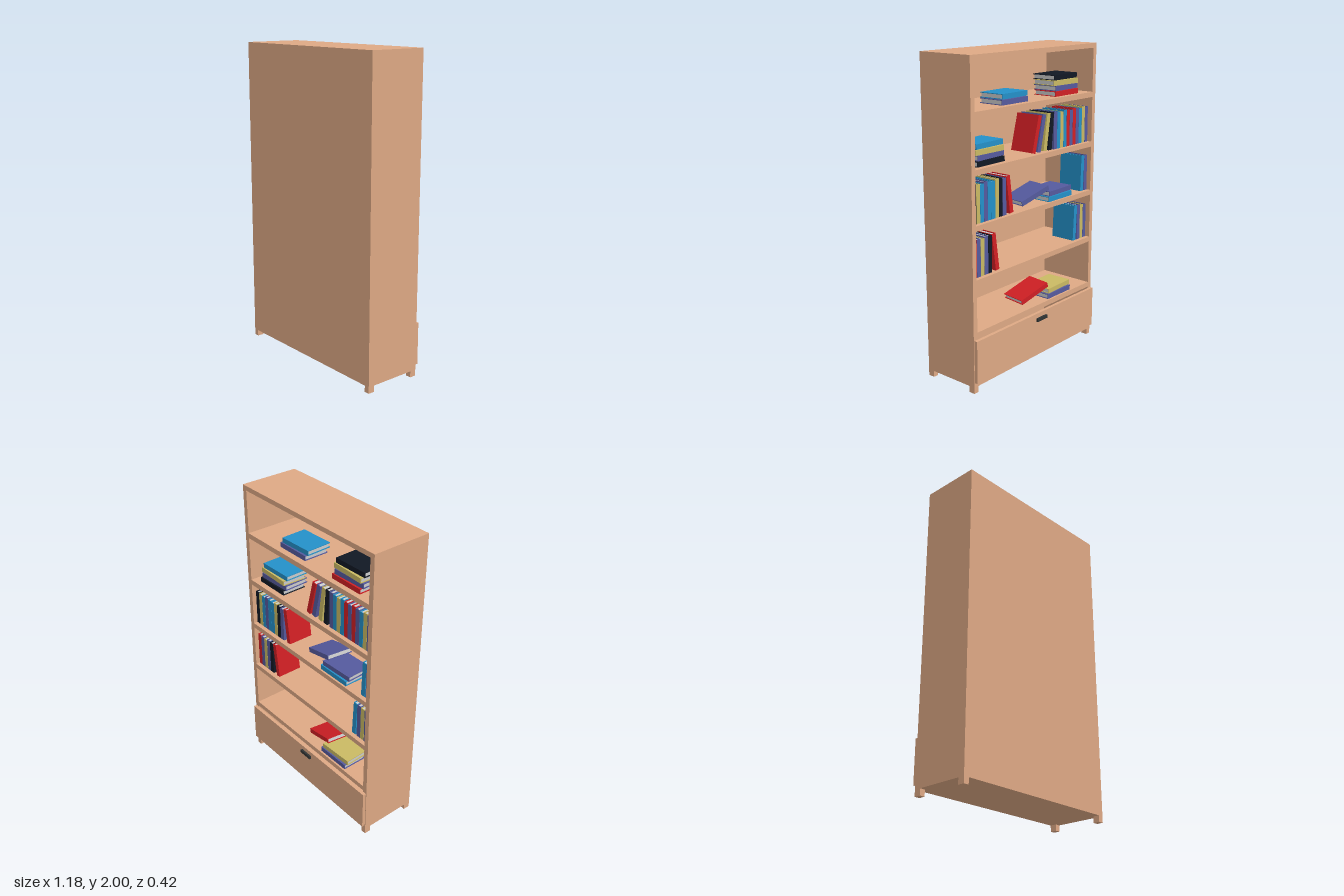
import * as THREE from 'three';

const mat = (color) => new THREE.MeshStandardMaterial({ color });
const WOOD = mat(0xdda884), DARK = mat(0x303434), PAGES = mat(0xcccccc);
const COVERS = {
  r: mat(0xd01f24), p: mat(0x555a9e), y: mat(0xc9b963), c: mat(0x2490c8), k: mat(0x111824),
};

// Box given by its lower and upper limits on each axis
function box(parent, name, m, [x0, x1], [y0, y1], [z0, z1]) {
  const mesh = new THREE.Mesh(new THREE.BoxGeometry(x1 - x0, y1 - y0, z1 - z0), m);
  mesh.position.set((x0 + x1) / 2, (y0 + y1) / 2, (z0 + z1) / 2);
  mesh.name = name;
  parent.add(mesh);
}

const H = 0.235, D = 0.17, T = 0.0325;

// Book: two covers, a spine at -z and a recessed page block.
// roll turns it about z (90 degrees lies flat), yaw about y.
function book(parent, key, x, y, z, { roll = 0, yaw = 0, t = T, h = H, d = D } = {}) {
  const g = new THREE.Group(), m = COVERS[key], c = 0.004, half = t / 2 - 0.0005;
  box(g, 'bookCover', m, [-half, -half + c], [0, h], [0, d]);
  box(g, 'bookCover', m, [half - c, half], [0, h], [0, d]);
  box(g, 'bookSpine', m, [-half + c, half - c], [0, h], [0, c]);
  box(g, 'bookPages', PAGES, [-half + c, half - c], [0.006, h - 0.006], [c, d - 0.008]);
  const a = THREE.MathUtils.degToRad(roll);
  g.rotation.order = 'YXZ';
  g.rotation.set(0, THREE.MathUtils.degToRad(yaw), a);
  g.position.set(x, y + (t / 2) * Math.abs(Math.sin(a)), z);
  g.name = 'book';
  parent.add(g);
}

// Upright books side by side, running from x towards -x
function row(parent, keys, x, y) {
  [...keys].forEach((k, i) => book(parent, k, x - (i + 0.5) * T, y, -0.15,
    { h: H - (i % 3) * 0.004 }));
}

// Flat books piled bottom to top, each slightly shifted
function stack(parent, keys, x, y, z) {
  [...keys].forEach((k, i) => book(parent, k, x - 0.012 * (i % 2), y + i * T, z + 0.006 * i,
    { roll: 90, yaw: [0, 2, -2, 1][i % 4] }));
}

export function createModel() {
  const model = new THREE.Group();
  model.name = 'bookcase';
  const W = 0.588, I = 0.556, F = -0.178, B = 0.21;

  // Carcass
  const carcass = new THREE.Group();
  carcass.name = 'carcass';
  model.add(carcass);
  box(carcass, 'sidePanel', WOOD, [I, W], [0.04, 2], [F, 0.2]);
  box(carcass, 'sidePanel', WOOD, [-W, -I], [0.04, 2], [F, 0.2]);
  box(carcass, 'topPanel', WOOD, [-I, I], [1.97, 2], [F, 0.2]);
  box(carcass, 'bottomPanel', WOOD, [-I, I], [0.04, 0.07], [F, 0.2]);
  box(carcass, 'backPanel', WOOD, [-W, W], [0.04, 2], [0.2, B]);
  const shelves = [0, 1, 2, 3, 4].map((i) => 0.386 + i * 0.326);
  shelves.forEach((y) => box(carcass, 'shelf', WOOD, [-I, I], [y - 0.033, y], [F, 0.2]));

  // Feet
  for (const x of [-W, W - 0.035])
    for (const z of [F, B - 0.043])
      box(model, 'foot', WOOD, [x, x + 0.035], [0, 0.04], [z, z + 0.043]);

  // Drawer
  const drawer = new THREE.Group();
  drawer.name = 'drawer';
  model.add(drawer);
  box(drawer, 'drawerFront', WOOD, [-0.583, 0.583], [0.07, 0.342], [-0.2, F]);
  box(drawer, 'drawerHandle', DARK, [-0.065, 0.031], [0.29, 0.312], [-0.213, -0.2]);

  // Books, from the lowest shelf up
  const books = new THREE.Group();
  books.name = 'books';
  model.add(books);
  const [s1, s2, s3, s4, s5] = shelves;

  // Two flat books with a third propped on them
  const propped = (keys, top, y) => {
    stack(books, keys, -0.13, y, -0.166);
    book(books, top, 0.06, y, -0.105, { roll: 73, yaw: -8 });
  };
  propped('py', 'r', s1);

  row(books, 'rpypk', 0.554, s2);
  book(books, 'r', 0.342, s2, -0.15, { roll: -8 });
  book(books, 'c', -0.425, s2, -0.15, { roll: 3 });
  row(books, 'pyp', -0.452, s2);

  row(books, 'kycpccykp', 0.554, s3);
  book(books, 'r', 0.212, s3, -0.15, { roll: -8 });
  propped('cp', 'p', s3);
  book(books, 'c', -0.498, s3, -0.15, { roll: 2 });
  row(books, 'p', -0.521, s3);

  stack(books, 'kpyc', 0.5, s4, -0.142);
  [['r', 0.005, 15], ['p', -0.045, 13], ['y', -0.105, 9], ['k', -0.155, 5]].forEach(
    ([k, x, roll]) => book(books, k, x, s4, -0.15, { roll }));
  row(books, 'pcycrprpcyp', -0.192, s4);

  stack(books, 'pc', 0.282, s5, -0.136);
  stack(books, 'rpyk', -0.21, s5, -0.145);
  return model;
}
